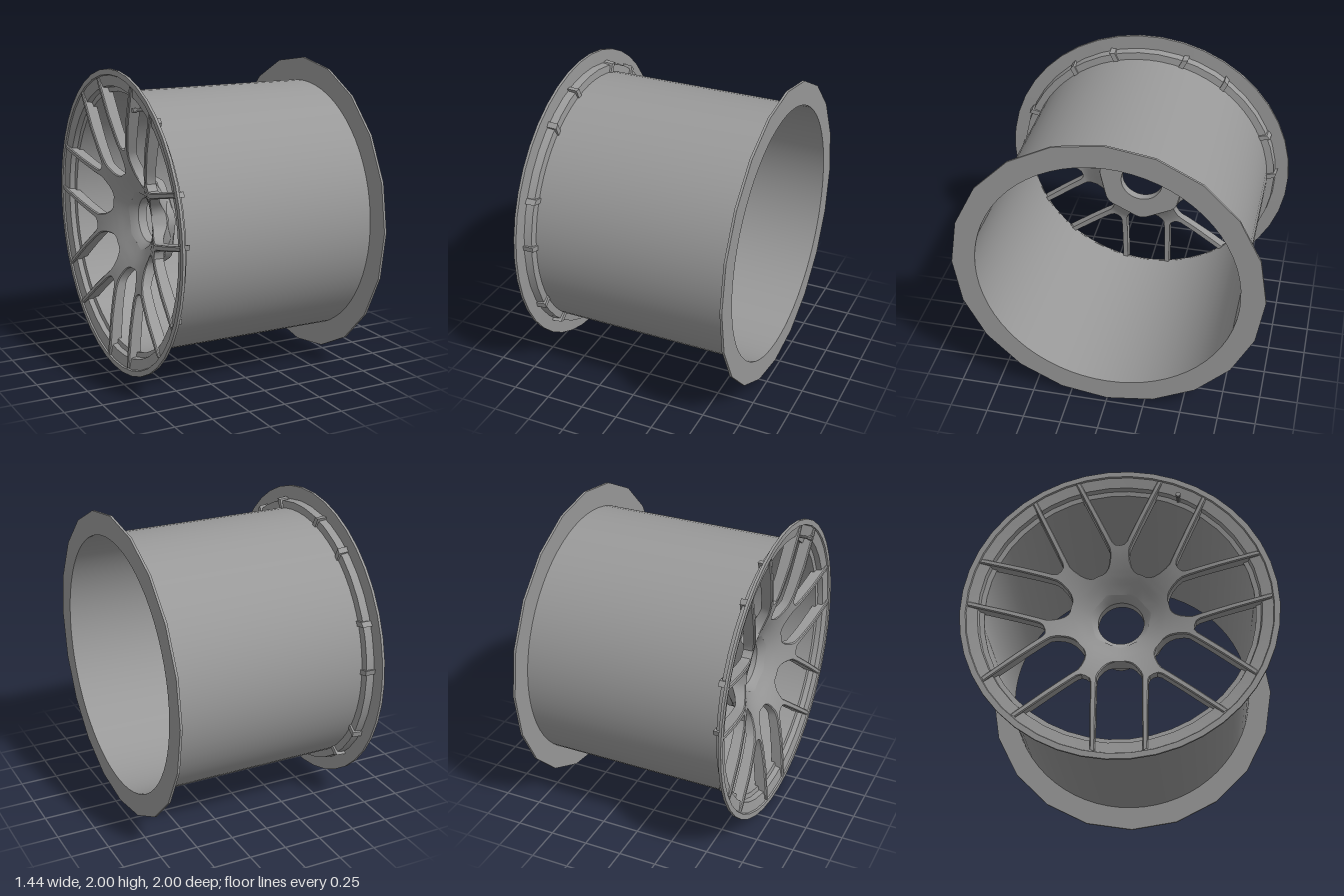
import * as THREE from 'three';
import { mergeGeometries, toCreasedNormals } from 'three/addons/utils/BufferGeometryUtils.js';

const material = new THREE.MeshStandardMaterial({ color: 0x999999, side: THREE.DoubleSide });
const SPOKES = 7;
const STEP = (Math.PI * 2) / SPOKES;

// Dished front and back faces of the spokes: [radius, x]
const FRONT = [[0.185, -0.505], [0.23, -0.527], [0.28, -0.553], [0.34, -0.58],
  [0.42, -0.61], [0.52, -0.638], [0.7, -0.665], [0.92, -0.684]];
const BACK = [[0.28, -0.41], [0.31, -0.46], [0.36, -0.51], [0.45, -0.555], [0.6, -0.58], [0.85, -0.6]];

function sample(table, r) {
  if (r <= table[0][0]) return table[0][1];
  for (let k = 1; k < table.length; k++) {
    const [r0, x0] = table[k - 1];
    const [r1, x1] = table[k];
    if (r <= r1) return THREE.MathUtils.mapLinear(r, r0, r1, x0, x1);
  }
  return table[table.length - 1][1];
}

function addMesh(parent, name, geometry, crease = 0.6) {
  const mesh = new THREE.Mesh(toCreasedNormals(geometry, crease), material);
  mesh.name = name;
  parent.add(mesh);
  return mesh;
}

// Turned part around the x axis from [radius, x] points
function turned(points, segments) {
  const geometry = new THREE.LatheGeometry(points.map(([r, x]) => new THREE.Vector2(r, x)), segments);
  return geometry.rotateZ(-Math.PI / 2);
}

// Half of a Y spoke, lofted outwards; stations are [height, inner edge, outer edge]
function halfSpoke(side) {
  // Wedge over the hub, rounded root, stem and crotch
  const stations = [0.18, 0.21, 0.24, 0.265, 0.284].map((s) => [s, 0, s * Math.tan(STEP / 2)]);
  stations.push([0.297, 0, 0.111], [0.312, 0, 0.093], [0.335, 0, 0.078], [0.37, 0, 0.067],
    [0.42, 0, 0.062], [0.455, 0, 0.066], [0.474, 0, 0.075], [0.479, 0.025, 0.077], [0.5, 0.045, 0.087]);
  // Straight arm, ending in a thin tip on the lip
  for (const s of [0.56, 0.62, 0.68, 0.74, 0.81, 0.872, 0.877, 0.908]) {
    const outer = 0.087 + 0.48 * (s - 0.5);
    stations.push([s, outer - 0.042 + (s - 0.5) * 0.016, outer]);
  }
  const positions = [];
  const index = [];
  const N = 8;
  stations.forEach(([s, i, o], row) => {
    const ci = i > 0 ? 0.007 : 0;
    const co = s > 0.29 ? 0.007 : 0;
    const front = (t) => sample(FRONT, Math.hypot(s, t));
    const back = (t) => (s > 0.875 ? -0.67 : sample(BACK, Math.hypot(s, t)));
    const ring = [[front(i) + ci, i]];
    for (let k = 0; k < 4; k++) {
      const t = THREE.MathUtils.lerp(i + ci, o - co, k / 3);
      ring.push([front(t), t]);
    }
    ring.push([front(o) + co, o], [back(o), o], [back(i), i]);
    ring.forEach(([x, t]) => positions.push(x, s, t * side));
    if (!row) return;
    for (let k = 0; k < N; k++) {
      const a = (row - 1) * N + k;
      const b = (row - 1) * N + (k + 1) % N;
      if (side > 0) index.push(a, b, b + N, a, b + N, a + N);
      else index.push(a, b + N, b, a, a + N, b + N);
    }
  });
  const geometry = new THREE.BufferGeometry();
  geometry.setAttribute('position', new THREE.Float32BufferAttribute(positions, 3));
  geometry.setIndex(index);
  return geometry;
}

// Hub: bevelled bore and seven-sided back with softened corners
function hubGeometry() {
  const geometry = turned([[0.145, -0.4], [0.145, -0.46], [0.185, -0.505], [0.205, -0.514],
    [0.23, -0.5], [0.32, -0.5], [0.32, -0.41], [0.312, -0.4], [0.145, -0.4]], 56);
  const p = geometry.attributes.position;
  for (let k = 0; k < p.count; k++) {
    const y = p.getY(k);
    const z = p.getZ(k);
    const r = Math.hypot(y, z);
    if (r < 0.3) continue;
    const angle = Math.atan2(z, y);
    const d = angle - Math.round(angle / STEP) * STEP;
    const scale = Math.min(Math.cos(STEP / 2) / Math.cos(d), 0.303 / r);
    p.setY(k, y * scale);
    p.setZ(k, z * scale);
  }
  return geometry;
}

// Flange plate: faceted outside, round opening
function flangeGeometry() {
  const corners = [];
  for (let k = 0; k < 20; k++) {
    const a = (k / 20) * Math.PI * 2;
    corners.push(new THREE.Vector2(Math.cos(a), Math.sin(a)));
  }
  const shape = new THREE.Shape(corners);
  shape.holes.push(new THREE.Path().absarc(0, 0, 0.845, 0, Math.PI * 2, true));
  const geometry = new THREE.ExtrudeGeometry(shape, { depth: 0.015, bevelEnabled: false, curveSegments: 32 });
  return geometry.rotateY(Math.PI / 2).translate(0.703, 0, 0);
}

export function createModel() {
  const group = new THREE.Group();
  group.name = 'wheelRim';
  const wheel = new THREE.Group();
  wheel.name = 'wheel';
  wheel.position.y = 1;
  group.add(wheel);

  // Open barrel
  addMesh(wheel, 'barrel', turned([[0.845, -0.62], [0.845, 0.71]], 64));

  // Thin flange on the open end
  addMesh(wheel, 'innerFlange', flangeGeometry(), 0.2);

  // Outer lip: narrow raised edge and a stepped seat leading into the barrel
  addMesh(wheel, 'outerLip', turned(
    [[0.955, -0.685], [0.99, -0.685], [0.99, -0.668], [0.9, -0.664], [0.893, -0.615], [0.845, -0.61],
      [0.845, -0.622], [0.875, -0.628], [0.882, -0.662], [0.95, -0.675], [0.955, -0.685]], 42), 0.4);

  addMesh(wheel, 'hub', hubGeometry(), 0.5);

  // Seven forked spokes, blended into one another over the hub
  const halves = [];
  for (let k = 0; k < SPOKES; k++) {
    for (const side of [1, -1]) halves.push(halfSpoke(side).rotateX(k * STEP));
  }
  addMesh(wheel, 'spokes', mergeGeometries(halves), 0.5);

  // Valve stem with cap
  const valve = new THREE.Group();
  valve.name = 'valve';
  valve.position.set(0, 0.785, 0.38);
  addMesh(valve, 'valveStem', new THREE.CylinderGeometry(0.01, 0.01, 0.07, 10).rotateZ(Math.PI / 2)).position.x = -0.665;
  addMesh(valve, 'valveCap', new THREE.CylinderGeometry(0.016, 0.016, 0.025, 10).rotateZ(Math.PI / 2)).position.x = -0.7075;
  wheel.add(valve);

  return group;
}
